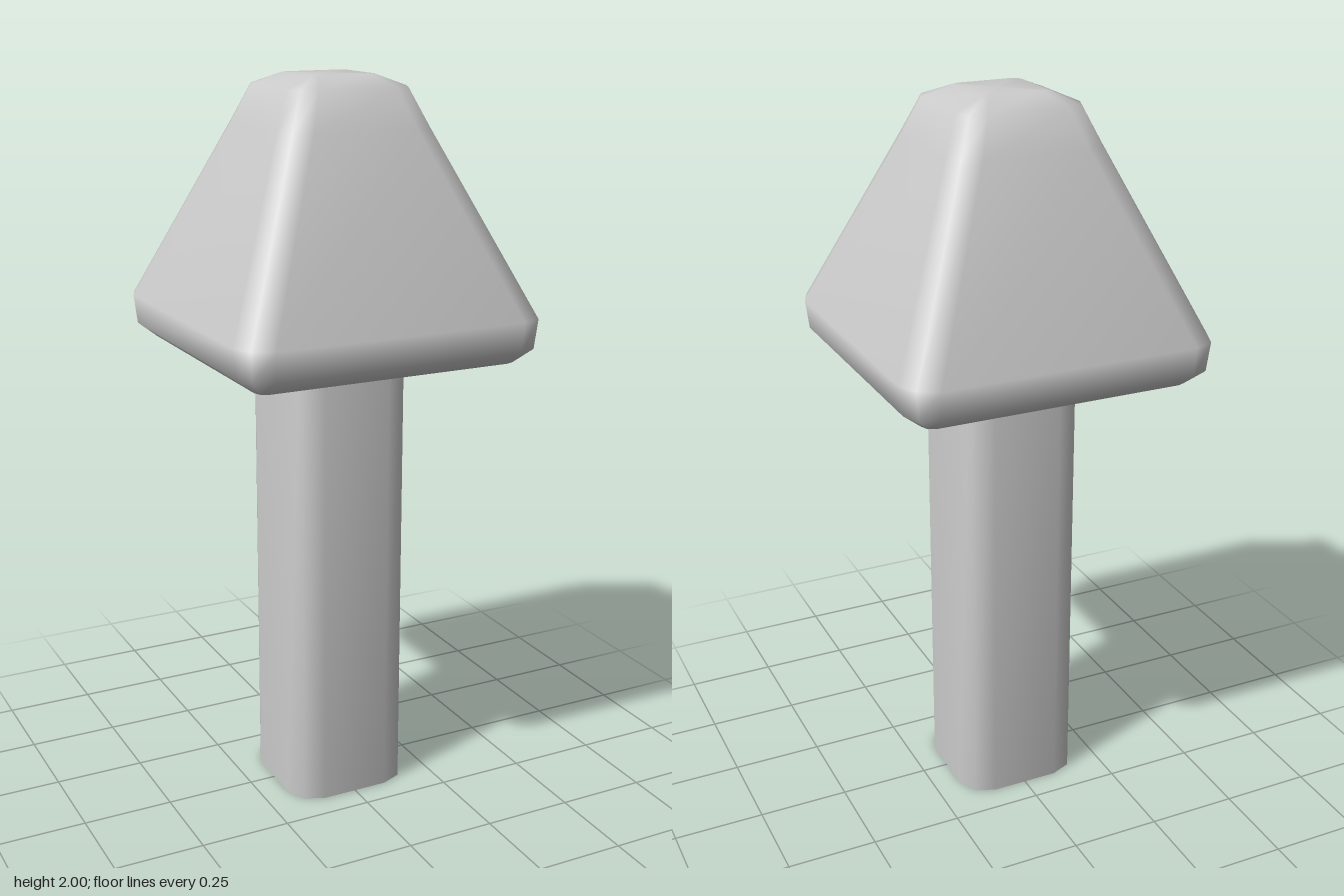
import * as THREE from 'three';

// Square outline with two-segment rounded corners: 12 points [x, z]
function roundedSquare(half, bevel) {
  const points = [];
  for (let corner = 0; corner < 4; corner++) {
    const mid = (corner + 0.5) * Math.PI / 2;
    const cx = Math.sign(Math.cos(mid)) * (half - bevel);
    const cz = Math.sign(Math.sin(mid)) * (half - bevel);
    for (let s = -1; s <= 1; s++) {
      const a = mid + s * Math.PI / 4;
      points.push([cx + bevel * Math.cos(a), cz + bevel * Math.sin(a)]);
    }
  }
  return points;
}

// Skin through rings of [y, half width, corner bevel], listed from bottom to top
function loft(rings, closeTop) {
  const n = 12, pos = [], index = [];
  for (const [y, half, bevel] of rings)
    for (const [x, z] of roundedSquare(half, bevel)) pos.push(x, y, z);
  for (let i = 0; i < rings.length - 1; i++)
    for (let k = 0; k < n; k++) {
      const a = i * n + k, b = i * n + (k + 1) % n;
      index.push(a, a + n, b, b, a + n, b + n);
    }
  if (closeTop) {
    const last = (rings.length - 1) * n, centre = pos.length / 3;
    pos.push(0, rings[rings.length - 1][0], 0);
    for (let k = 0; k < n; k++) index.push(centre, last + (k + 1) % n, last + k);
  }
  const geometry = new THREE.BufferGeometry();
  geometry.setAttribute('position', new THREE.Float32BufferAttribute(pos, 3));
  geometry.setIndex(index);
  geometry.computeVertexNormals();
  return geometry;
}

export function createModel() {
  const group = new THREE.Group();
  const material = new THREE.MeshStandardMaterial({ color: 0xcccccc, side: THREE.DoubleSide });
  const add = (name, geometry) => {
    const mesh = new THREE.Mesh(geometry, material);
    mesh.name = name;
    group.add(mesh);
    return mesh;
  };

  // Hollow tapered cap, with a square opening around the stem
  add('cap', loft([
    [1.27, 0.25, 0.01],
    [1.27, 0.37, 0.03],
    [1.31, 0.42, 0.07],
    [1.39, 0.43, 0.08],
    [1.87, 0.215, 0.07],
    [1.97, 0.17, 0.06],
    [2.0, 0.095, 0.02],
  ], true));

  // Stem, running up inside the cap
  add('stem', loft([[0, 0.175, 0.08], [1.5, 0.175, 0.08]], true));

  // Flat, sharp-edged foot of the stem
  const outline = roundedSquare(0.175, 0.08).map(([x, z]) => new THREE.Vector2(x, z));
  add('stemBase', new THREE.ShapeGeometry(new THREE.Shape(outline)).rotateX(Math.PI / 2));

  return group;
}
